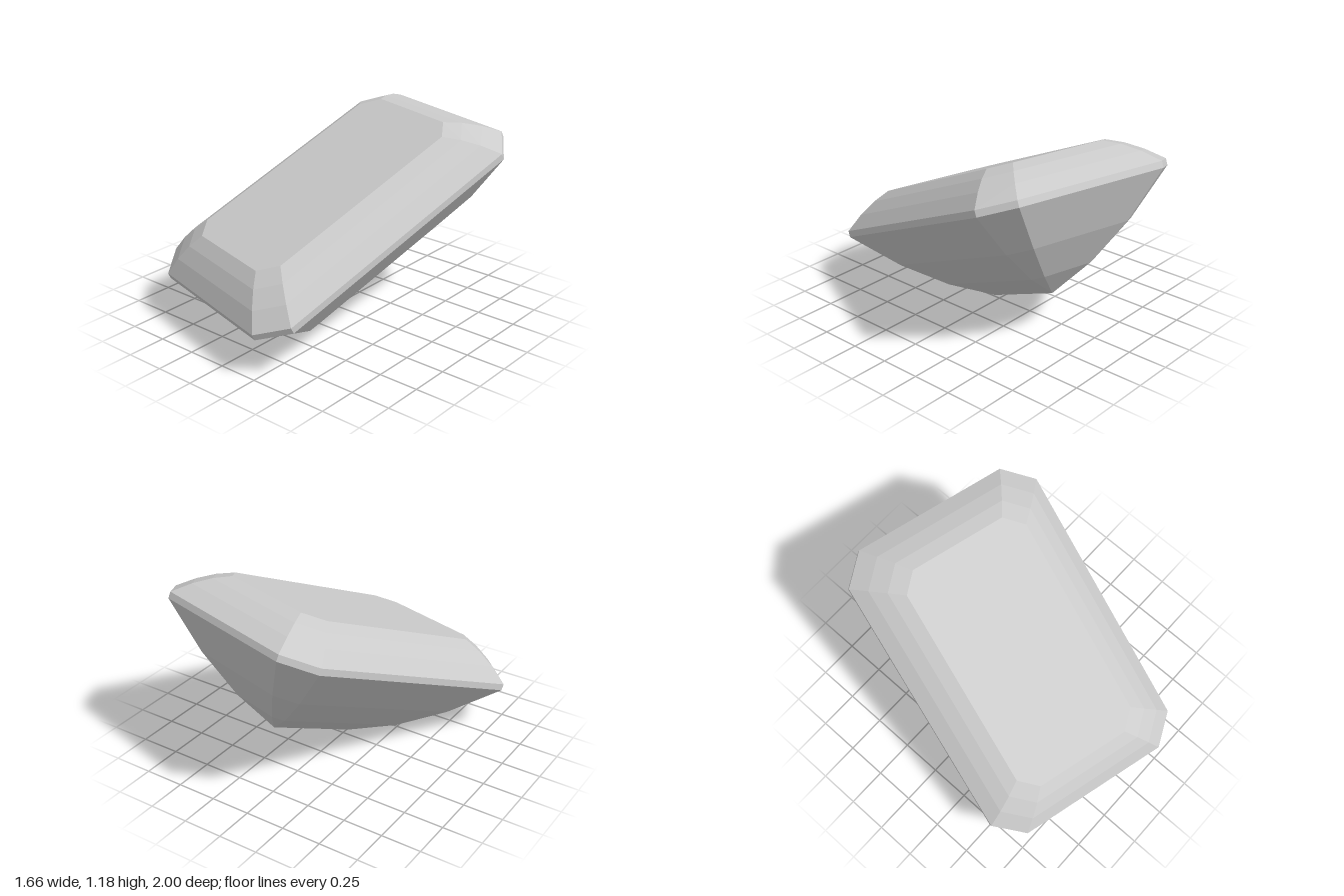
import * as THREE from 'three';

const material = new THREE.MeshStandardMaterial({ color: 0xcccccc, flatShading: true });

// Octagon outlines: a = half of end edge, l = half length, w = half width, b = half of side edge
const GIRDLE = { a: 0.49, l: 0.988, w: 0.657, b: 0.825 };
const TABLE = { a: 0.305, l: 0.737, w: 0.41, b: 0.63 };
const KEEL = { a: 0, l: 0.332, w: 0, b: 0.332 };
const GIRDLE_Y = 0.02, TABLE_Y = 0.21, KEEL_Y = -0.594, STEPS = 3;

// Eight corners of an outline, counter-clockwise seen from above
function ring({ a, l, w, b }, y) {
  return [[a, l], [w, b], [w, -b], [a, -l], [-a, -l], [-w, -b], [-w, b], [-a, l]]
    .map(([x, z]) => new THREE.Vector3(x, y, z));
}

// Step-cut rings between two outlines, steepest beside the girdle
function steppedRings(from, to, y0, y1) {
  const rings = [];
  for (let i = 0; i <= STEPS; i++) {
    const t = i / STEPS;
    const outline = {};
    for (const k of Object.keys(from)) outline[k] = THREE.MathUtils.lerp(from[k], to[k], t);
    rings.push(ring(outline, THREE.MathUtils.lerp(y0, y1, t * (1.45 - 0.45 * t))));
  }
  return rings;
}

function facetMesh(name, triangles) {
  const solid = triangles.filter(([p, q, r]) => new THREE.Triangle(p, q, r).getArea() > 1e-7);
  const geometry = new THREE.BufferGeometry().setFromPoints(solid.flat());
  geometry.computeVertexNormals();
  const mesh = new THREE.Mesh(geometry, material);
  mesh.name = name;
  return mesh;
}

// Facet bands joining rings listed from bottom to top
function bands(rings) {
  const triangles = [];
  for (let k = 0; k < rings.length - 1; k++) {
    const low = rings[k], high = rings[k + 1];
    for (let i = 0; i < 8; i++) {
      const j = (i + 1) % 8;
      triangles.push([low[i], low[j], high[j]], [low[i], high[j], high[i]]);
    }
  }
  return triangles;
}

export function createModel() {
  const gem = new THREE.Group();
  gem.name = 'stepCutGem';

  const crown = steppedRings(GIRDLE, TABLE, GIRDLE_Y, TABLE_Y);
  const pavilion = steppedRings(GIRDLE, KEEL, -GIRDLE_Y, KEEL_Y).reverse();
  const top = crown[STEPS];
  const table = [];
  for (let i = 1; i < 7; i++) table.push([top[0], top[i], top[i + 1]]);

  gem.add(
    facetMesh('pavilion', bands(pavilion)),
    facetMesh('girdle', bands([pavilion[STEPS], crown[0]])),
    facetMesh('crown', bands(crown)),
    facetMesh('table', table)
  );

  // Resting pose: turned and tipped towards the front
  gem.rotation.set(THREE.MathUtils.degToRad(25), THREE.MathUtils.degToRad(-14.75), 0, 'YXZ');
  gem.position.y = 0.68;

  const model = new THREE.Group();
  model.name = 'gem';
  model.add(gem);
  return model;
}
